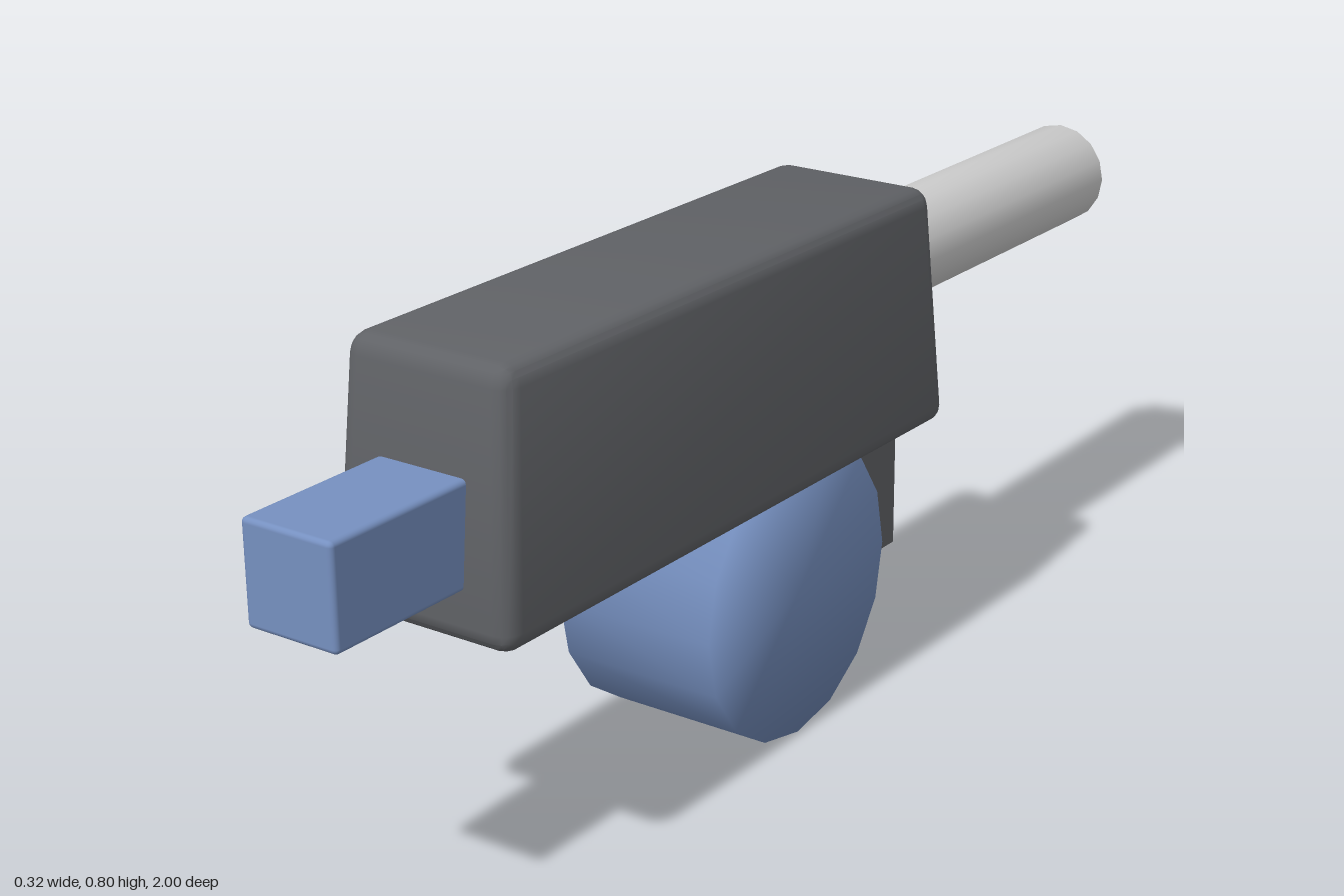
import * as THREE from 'three';
import { mergeVertices, toCreasedNormals } from 'three/addons/utils/BufferGeometryUtils.js';
import { RoundedBoxGeometry } from 'three/addons/geometries/RoundedBoxGeometry.js';

const dark = new THREE.MeshStandardMaterial({ color: 0x606266 });
const blue = new THREE.MeshStandardMaterial({ color: 0x7690c0 });
const grey = new THREE.MeshStandardMaterial({ color: 0xcccccc });

function part(name, geometry, material, x, y, z) {
  const mesh = new THREE.Mesh(geometry, material);
  mesh.name = name;
  mesh.position.set(x, y, z);
  return mesh;
}

// Capped cylinder whose caps share smooth normals with the side
function softCylinder(radius, length, sides) {
  let g = new THREE.CylinderGeometry(radius, radius, length, sides);
  g.deleteAttribute('normal');
  g.deleteAttribute('uv');
  g = mergeVertices(g, 1e-4);
  g.computeVertexNormals();
  return g;
}

// Bevelled box that narrows evenly towards the top
function taperedBox(w, h, d, bevel, insetX, insetZ) {
  const g = new RoundedBoxGeometry(w, h, d, 2, bevel);
  const p = g.attributes.position;
  for (let i = 0; i < p.count; i++) {
    const t = p.getY(i) / h + 0.5;
    p.setX(i, p.getX(i) * (1 - t * 2 * insetX / w));
    p.setZ(i, p.getZ(i) * (1 - t * 2 * insetZ / d));
  }
  return toCreasedNormals(g, 0.5);
}

export function createModel() {
  const model = new THREE.Group();
  model.name = 'model';

  // Long tapered housing
  model.add(part('body', taperedBox(0.318, 0.395, 1.12, 0.03, 0.018, 0.035), dark, 0, 0.6025, 0.2));

  // Short block at the front
  model.add(part('frontBlock', new RoundedBoxGeometry(0.156, 0.156, 0.3, 2, 0.008), blue, 0, 0.5625, 0.85));

  // Drum below, lying across the body
  const drum = softCylinder(0.24, 0.278, 16);
  drum.rotateZ(Math.PI / 2);
  model.add(part('drum', drum, blue, 0, 0.24, 0.04));

  // Upright block behind the drum
  model.add(part('rearBlock', new THREE.BoxGeometry(0.122, 0.24, 0.16), dark, 0, 0.285, -0.28));

  // Round bar at the back
  const bar = softCylinder(0.087, 0.64, 16);
  bar.rotateX(Math.PI / 2);
  model.add(part('rearBar', bar, grey, 0, 0.645, -0.68));

  return model;
}
